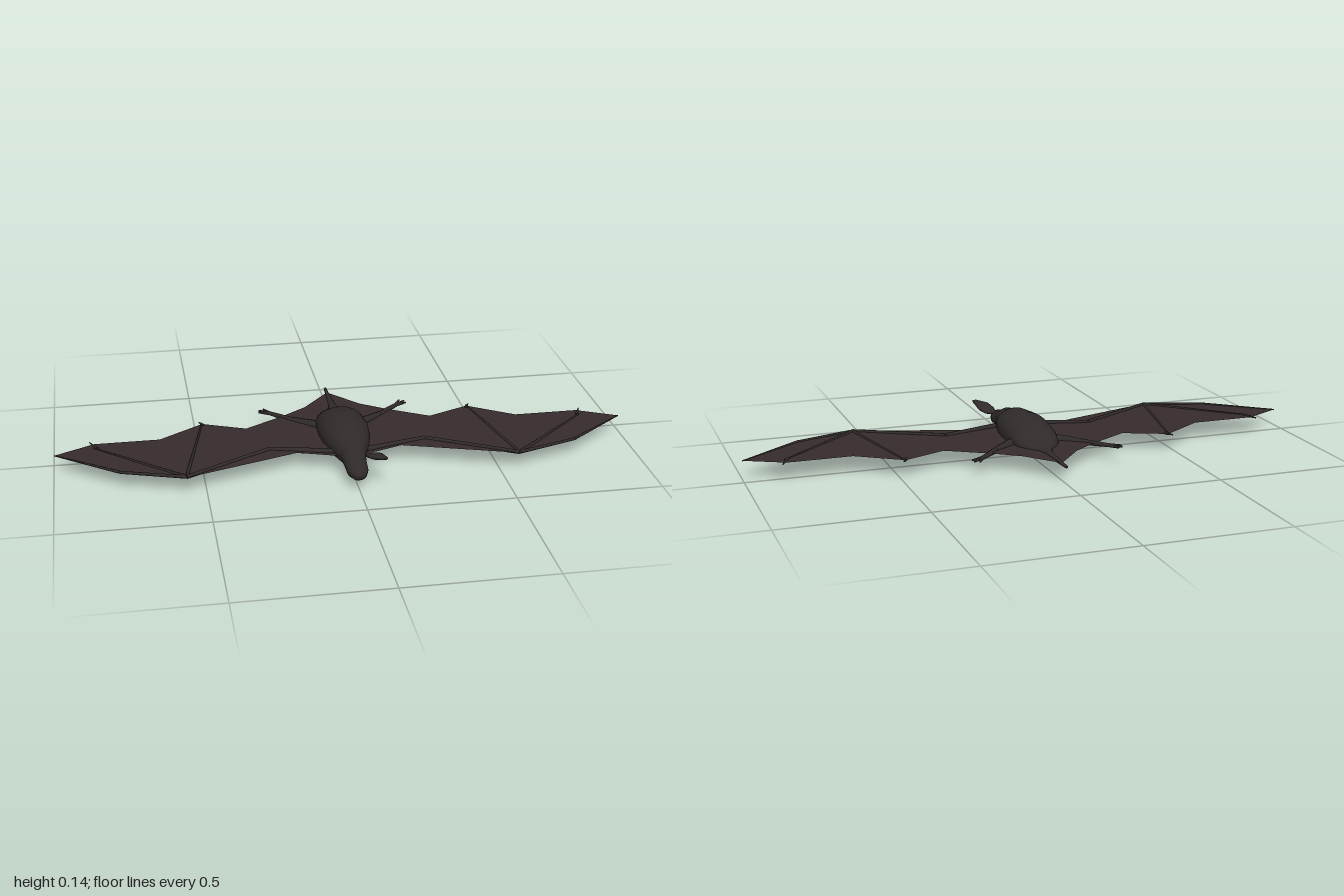
import * as THREE from 'three';

const furMat = new THREE.MeshStandardMaterial({ color: 0x302b2a });
furMat.name = 'dark fur';
const skinMat = new THREE.MeshStandardMaterial({ color: 0x382c2d, side: THREE.DoubleSide });
skinMat.name = 'wing skin';

const WING_Y = 0.063;

// Elliptical cross-sections [z, x, y, radiusX, radiusY], listed from front to back
function loft(sections, sides) {
  const pos = [], index = [];
  sections.forEach(([z, x, y, rx, ry]) => {
    for (let j = 0; j < sides; j++) {
      const a = (j / sides) * Math.PI * 2;
      pos.push(x + Math.cos(a) * rx, y + Math.sin(a) * ry, z);
    }
  });
  for (let i = 0; i < sections.length - 1; i++) {
    for (let j = 0; j < sides; j++) {
      const k = (j + 1) % sides;
      const a = i * sides + j, b = i * sides + k, c = a + sides, d = b + sides;
      index.push(a, c, b, b, c, d);
    }
  }
  const g = new THREE.BufferGeometry();
  g.setAttribute('position', new THREE.Float32BufferAttribute(pos, 3));
  g.setIndex(index);
  g.computeVertexNormals();
  return g;
}

function add(group, name, geometry, material) {
  const mesh = new THREE.Mesh(geometry, material);
  mesh.name = name;
  group.add(mesh);
  return mesh;
}

// Tapered rod between two points [x, y, z]
function bone(group, name, from, to, r0, r1, material = furMat) {
  const a = new THREE.Vector3(...from), b = new THREE.Vector3(...to);
  const dir = b.clone().sub(a);
  const mesh = add(group, name, new THREE.CylinderGeometry(r1, r0, dir.length(), 8), material);
  mesh.position.copy(a).add(b).multiplyScalar(0.5);
  mesh.quaternion.setFromUnitVectors(new THREE.Vector3(0, 1, 0), dir.normalize());
}

function buildWing(side) {
  const wing = new THREE.Group();
  wing.name = side > 0 ? 'leftWing' : 'rightWing';
  const p = (x, z, y = WING_Y) => [side * x, y, z];

  // Membrane from the tail round the scalloped rear edge to the tip and back
  const outline = [[0, -0.33], [0.1, -0.21], [0.19, -0.145], [0.33, -0.06], [0.48, -0.125],
    [0.635, 0.02], [0.86, 0.02], [0.995, -0.05], [0.78, -0.22], [0.565, -0.292], [0.18, -0.165], [0, -0.23]];
  const pts = outline.map(([x, z], i) => new THREE.Vector2(side * x, i < 5 ? -z : z));
  const membrane = new THREE.ShapeGeometry(new THREE.Shape(pts));
  membrane.rotateX(-Math.PI / 2);
  membrane.translate(0, WING_Y, 0);
  add(wing, 'membrane', membrane, skinMat);

  // Arm and fingers
  const wrist = p(0.565, 0.286), elbow = p(0.27, 0.12), knuckle = p(0.78, 0.215);
  bone(wing, 'upperArm', p(0.05, 0.18), elbow, 0.012, 0.008);
  bone(wing, 'forearm', elbow, wrist, 0.008, 0.007);
  bone(wing, 'leadingFinger', wrist, knuckle, 0.006, 0.005);
  bone(wing, 'leadingFingerTip', knuckle, p(0.995, 0.05), 0.005, 0.002);
  bone(wing, 'innerFinger', wrist, p(0.48, -0.13), 0.006, 0.003);
  bone(wing, 'outerFinger', wrist, p(0.86, 0.015), 0.006, 0.003);

  // Claws at the rear edge
  bone(wing, 'outerClaw', p(0.85, 0.02), p(0.875, -0.035), 0.006, 0.002);
  bone(wing, 'innerClaw', p(0.475, -0.11), p(0.49, -0.14), 0.006, 0.002);
  return wing;
}

function buildLeg(side) {
  const leg = new THREE.Group();
  leg.name = side > 0 ? 'leftLeg' : 'rightLeg';
  const p = (x, z, y = 0.061) => [side * x, y, z];
  bone(leg, 'thigh', p(0.06, -0.03), p(0.16, -0.11), 0.022, 0.011);
  bone(leg, 'shin', p(0.155, -0.105), p(0.235, -0.185), 0.011, 0.007);
  [[0.27, -0.195], [0.267, -0.212], [0.25, -0.22]].forEach(([x, z]) =>
    bone(leg, 'toe', p(0.23, -0.18), p(x, z), 0.007, 0.003));
  return leg;
}

export function createModel() {
  const model = new THREE.Group();
  model.name = 'bat';

  // Body, head and tail as [z, bottom, top, half width]
  const profile = [[0.365, 0.055, 0.055, 0], [0.364, 0.042, 0.07, 0.014], [0.35, 0.034, 0.076, 0.026],
    [0.32, 0.026, 0.084, 0.036], [0.28, 0.029, 0.093, 0.038], [0.24, 0.031, 0.112, 0.042],
    [0.22, 0.027, 0.112, 0.048], [0.155, 0.018, 0.133, 0.07], [0.1, 0.01, 0.138, 0.083],
    [0.04, 0.002, 0.143, 0.089], [-0.05, 0.008, 0.128, 0.086], [-0.1, 0.024, 0.103, 0.074],
    [-0.135, 0.039, 0.083, 0.054], [-0.165, 0.046, 0.076, 0.027], [-0.2, 0.051, 0.072, 0.014],
    [-0.29, 0.053, 0.069, 0.008], [-0.37, 0.056, 0.066, 0.005], [-0.374, 0.061, 0.061, 0]];
  add(model, 'body', loft(profile.map(([z, lo, hi, w]) => [z, 0, (lo + hi) / 2, w, (hi - lo) / 2]), 20), furMat);

  // Single leaf-shaped ear on the left of the head
  add(model, 'ear', loft([[0.37, 0.09, 0.115, 0, 0], [0.36, 0.083, 0.113, 0.011, 0.006],
    [0.33, 0.066, 0.106, 0.026, 0.011], [0.3, 0.06, 0.098, 0.03, 0.011],
    [0.28, 0.052, 0.09, 0.022, 0.008], [0.265, 0.044, 0.085, 0, 0]], 10), furMat);

  for (const side of [1, -1]) model.add(buildWing(side), buildLeg(side));
  return model;
}
